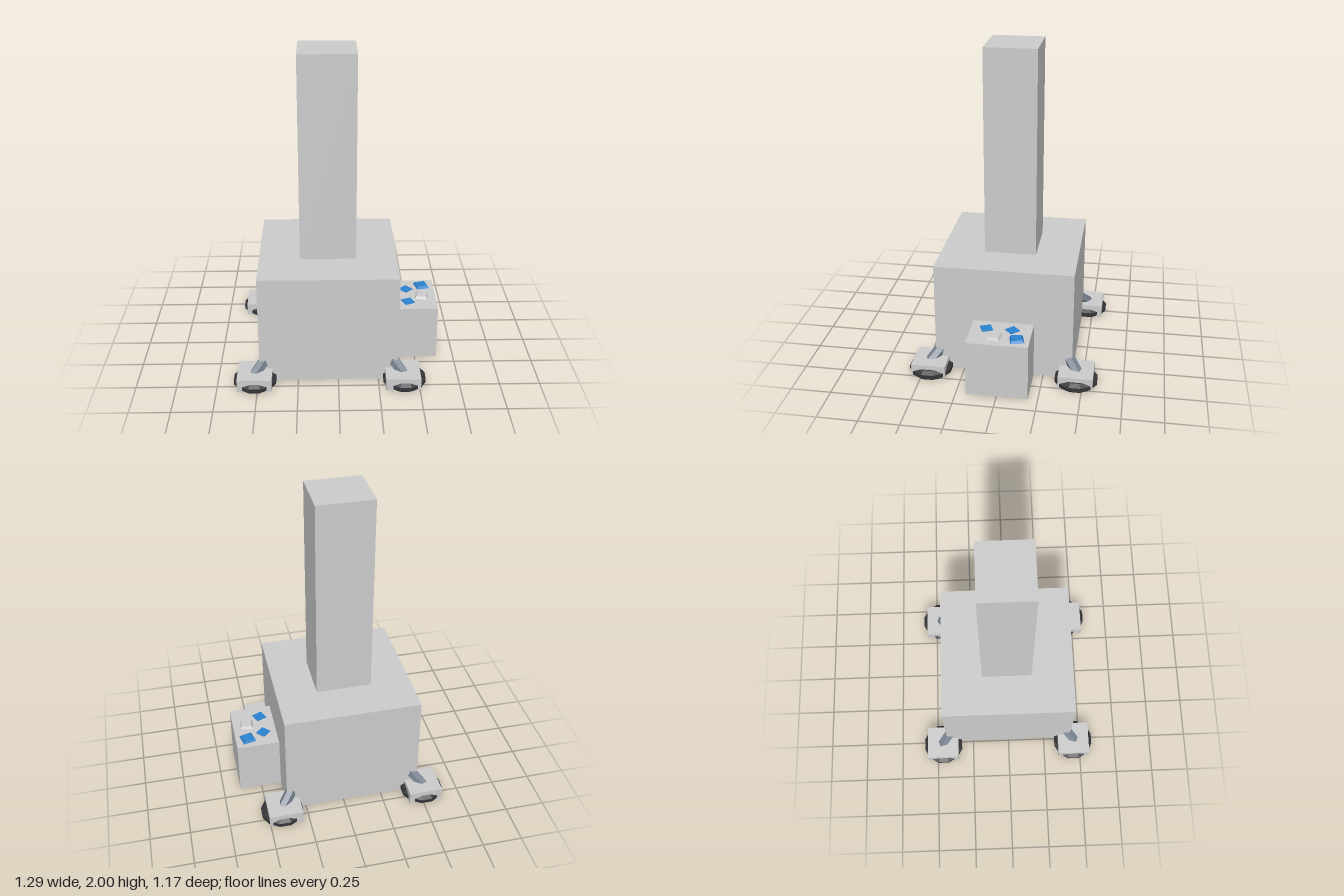
import * as THREE from 'three';

const mat = (name, color) => {
  const m = new THREE.MeshStandardMaterial({ color });
  m.name = name;
  return m;
};

export function createModel() {
  const grey = mat('light grey', 0xcccccc);
  const rubber = mat('dark rubber', 0x363539);
  const steel = mat('steel', 0x78828f);
  const blue = mat('blue', 0x2a84d0);

  const model = new THREE.Group();
  model.name = 'model';

  const add = (name, geometry, material, parent = model) => {
    const mesh = new THREE.Mesh(geometry, material);
    mesh.name = name;
    parent.add(mesh);
    return mesh;
  };

  // Box given by its minimum and maximum corners
  const box = (name, min, max, material, parent) => {
    const size = max.map((v, i) => v - min[i]);
    const mesh = add(name, new THREE.BoxGeometry(...size), material, parent);
    mesh.position.set(...max.map((v, i) => (v + min[i]) / 2));
    return mesh;
  };

  // Main blocks
  box('body', [-0.49, 0, -0.43], [0.37, 0.705, 0.43], grey);
  box('tower', [-0.235, 0.705, -0.165], [0.115, 2, 0.157], grey);
  box('sideBox', [0.37, 0, -0.19], [0.64, 0.355, 0.187], grey);

  // Twelve-sided wheel with a chamfered upper rim, flats facing the axes
  const profile = [[0, 0], [0.122, 0], [0.1346, 0.012], [0.1346, 0.037], [0.108, 0.055], [0, 0.055]];
  const wheelGeometry = new THREE.LatheGeometry(
    profile.map(([r, y]) => new THREE.Vector2(r, y)), 12, Math.PI / 12).toNonIndexed();
  wheelGeometry.computeVertexNormals();

  // Feet at the four corners: hub cover, wheel and slanted strut
  const up = new THREE.Vector3(0, 1, 0);
  for (const sx of [-1, 1]) {
    for (const sz of [-1, 1]) {
      const foot = new THREE.Group();
      foot.name = (sz > 0 ? 'front' : 'back') + (sx > 0 ? 'Left' : 'Right') + 'Foot';
      foot.position.set(sx > 0 ? 0.398 : -0.517, 0, sz > 0 ? 0.454 : -0.46);
      model.add(foot);
      box('footCover', [-0.107, 0.004, -0.107], [0.107, 0.083, 0.107], grey, foot);
      const wheel = add('wheel', wheelGeometry, rubber, foot);
      wheel.position.x = sx > 0 ? 0.012 : 0;

      const start = new THREE.Vector3(sx * 0.013, 0.05, sz * 0.015);
      const end = new THREE.Vector3(-sx * 0.1, 0.17, -sz * 0.095);
      const axis = end.clone().sub(start);
      const strutGeometry = new THREE.CylinderGeometry(0.036, 0.036, axis.length(), 6).toNonIndexed();
      strutGeometry.computeVertexNormals();
      const strut = add('strut', strutGeometry, steel, foot);
      strut.position.copy(start).add(end).multiplyScalar(0.5);
      strut.quaternion.setFromUnitVectors(up, axis.normalize());
    }
  }

  // Loose tiles on the side box: name, x, z, side, height, turn, top scale, material
  const tiles = [
    ['flatTileBack', 0.455, -0.07, 0.066, 0.004, 0.75, 1, blue],
    ['flatTileFront', 0.455, 0.09, 0.068, 0.004, 0.4, 1, blue],
    ['raisedBlueTile', 0.562, -0.112, 0.083, 0.016, 0.24, 0.78, blue],
    ['raisedGreyTile', 0.55, 0.024, 0.08, 0.016, -0.15, 0.78, grey],
  ];
  for (const [name, x, z, side, height, turn, topScale, material] of tiles) {
    const r = side / Math.SQRT2;
    const geometry = new THREE.CylinderGeometry(r * topScale, r, height, 4)
      .rotateY(Math.PI / 4).toNonIndexed();
    geometry.computeVertexNormals();
    const tile = add(name, geometry, material);
    tile.position.set(x, 0.355 + height / 2, z);
    tile.rotation.y = turn;
  }

  return model;
}
